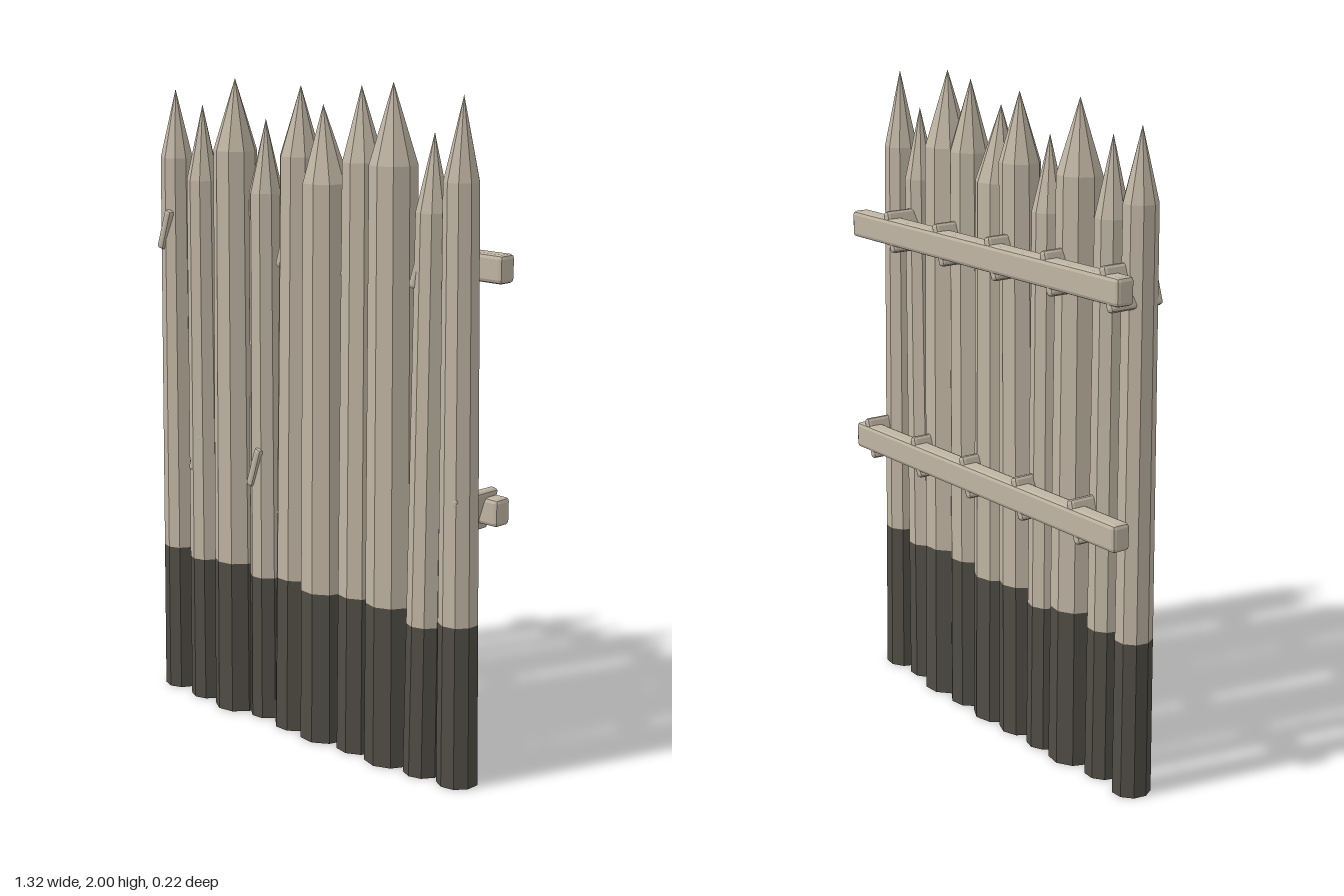
import * as THREE from 'three';
import { RoundedBoxGeometry } from 'three/addons/geometries/RoundedBoxGeometry.js';

const wood = new THREE.MeshStandardMaterial({ color: 0xc0b5a4 });
wood.name = 'weathered wood';
const char = new THREE.MeshStandardMaterial({ color: 0x504d45 });
char.name = 'charred wood';

// Stakes: base x, shoulder x, tip x, z, base radius, shoulder radius, shoulder y, tip y
const STAKES = [
  [-0.602, -0.597, -0.60, 0.014, 0.058, 0.051, 1.73, 1.94],
  [-0.463, -0.465, -0.465, 0.025, 0.058, 0.051, 1.67, 1.90],
  [-0.322, -0.321, -0.32, 0.024, 0.078, 0.067, 1.77, 1.985],
  [-0.198, -0.201, -0.20, 0.012, 0.060, 0.052, 1.65, 1.87],
  [-0.066, -0.048, -0.045, 0.020, 0.071, 0.062, 1.77, 1.975],
  [0.062, 0.061, 0.05, 0.024, 0.081, 0.071, 1.70, 1.925],
  [0.203, 0.207, 0.20, 0.022, 0.071, 0.062, 1.77, 1.985],
  [0.336, 0.328, 0.325, 0.026, 0.081, 0.071, 1.77, 2.0],
  [0.470, 0.483, 0.485, 0.032, 0.060, 0.050, 1.65, 1.87],
  [0.594, 0.577, 0.58, 0.023, 0.062, 0.052, 1.74, 1.975],
];
const SIDES = 9;

function facet(geometry) {
  const g = geometry.index ? geometry.toNonIndexed() : geometry;
  g.computeVertexNormals();
  return g;
}

// Faceted section of a leaning stake with level ends
function section(name, material, y0, x0, r0, y1, x1, r1, turn, open) {
  const h = y1 - y0;
  const g = new THREE.CylinderGeometry(r1, r0, h, SIDES, 1, open, turn);
  const shear = new THREE.Matrix4().set(
    1, (x1 - x0) / h, 0, (x0 + x1) / 2,
    0, 1, 0, (y0 + y1) / 2,
    0, 0, 1, 0,
    0, 0, 0, 1);
  const mesh = new THREE.Mesh(facet(g.applyMatrix4(shear)), material);
  mesh.name = name;
  return mesh;
}

function createStake([xb, xs, xt, z, rb, rs, ys, yt], i) {
  const stake = new THREE.Group();
  stake.name = 'stake' + (i + 1);
  const yc = yt * 0.245;
  const t = yc / ys;
  const xc = xb + (xs - xb) * t;
  const rc = rb + (rs - rb) * t;
  const turn = i * 1.3;
  stake.add(
    section('charredBase', char, 0, xb, rb, yc, xc, rc, turn, false),
    section('shaft', wood, yc, xc, rc, ys, xs, rs, turn, true),
    section('point', wood, ys, xs, rs, yt, xt, 0, turn, true));
  stake.position.z = z;
  return stake;
}

// Bar with chamfered edges
function bar(name, w, h, d, chamfer) {
  const mesh = new THREE.Mesh(facet(new RoundedBoxGeometry(w, h, d, 1, chamfer)), wood);
  mesh.name = name;
  return mesh;
}

export function createModel() {
  const model = new THREE.Group();
  model.name = 'palisade';
  STAKES.forEach((s, i) => model.add(createStake(s, i)));

  // Two rails along the back, slightly out of level
  const railY = [1.502, 0.807];
  railY.forEach((y, k) => {
    const rail = bar(k ? 'lowerRail' : 'upperRail', 1.32, 0.082, 0.06, 0.012);
    rail.position.set(0, y, -0.083);
    rail.rotation.z = -0.009;
    model.add(rail);
  });

  // Slanted lashings alternate between the upper and lower rail
  for (let i = 0; i < 10; i++) {
    const lashing = bar('lashing' + (i + 1), 0.028, 0.13, 0.183, 0.01);
    const x = -0.601 + i * 0.1323;
    lashing.position.set(x, railY[i % 2] - 0.009 * x, -0.017);
    lashing.rotation.z = -0.32;
    model.add(lashing);
  }
  return model;
}
